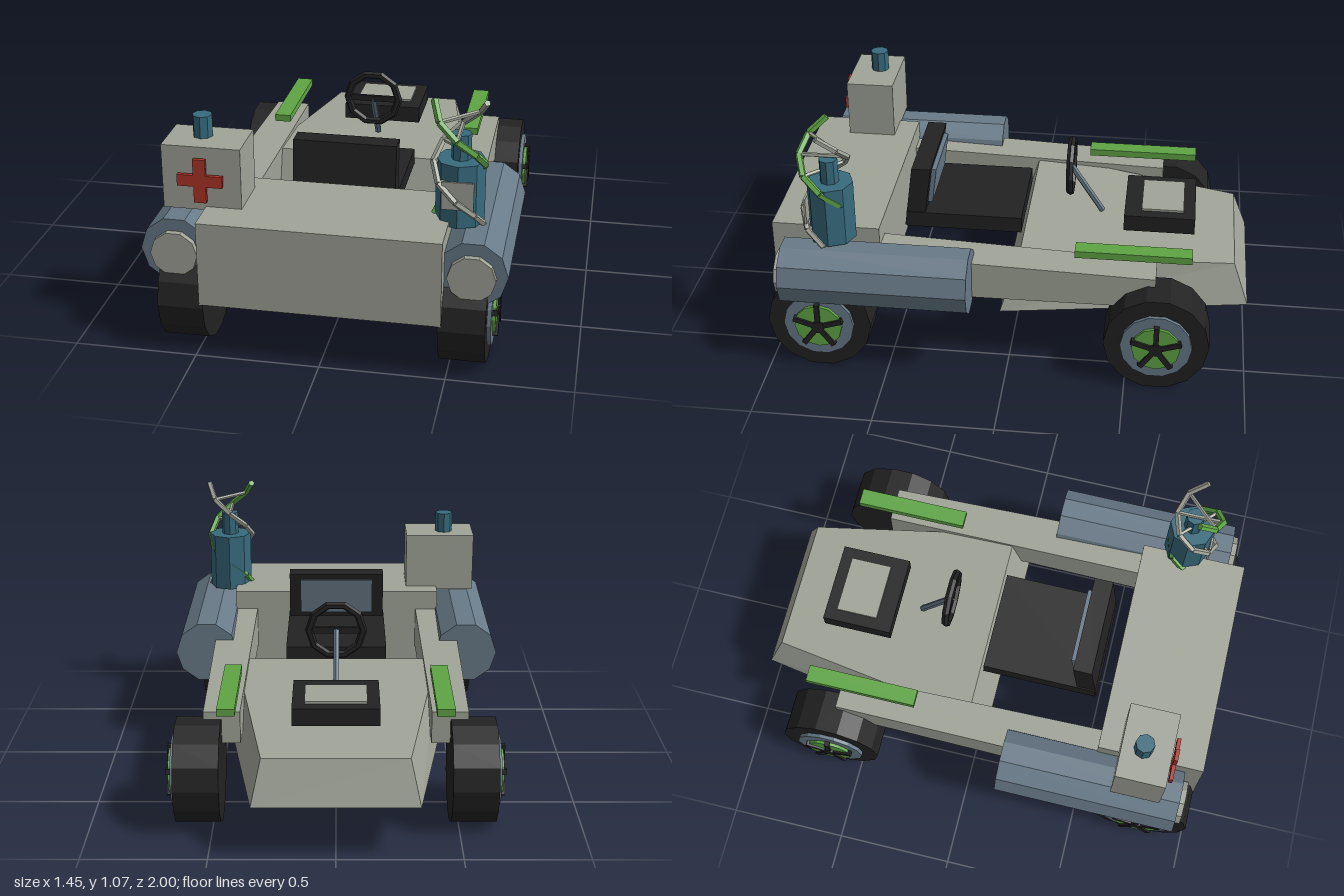
import * as THREE from 'three';

const mat = (name, color) => {
  const m = new THREE.MeshStandardMaterial({ color, flatShading: true });
  m.name = name;
  return m;
};

export function createModel() {
  const body = mat('body grey', 0xa0a498);
  const steel = mat('steel blue', 0x687a88);
  const black = mat('rubber black', 0x222222);
  const green = mat('green', 0x5fa545);
  const teal = mat('teal', 0x376a7d);
  const red = mat('red', 0xb03528);
  const root = new THREE.Group();

  const add = (name, geo, material, x = 0, y = 0, z = 0, parent = root) => {
    const m = new THREE.Mesh(geo, material);
    m.name = name;
    m.position.set(x, y, z);
    parent.add(m);
    return m;
  };
  // Box given by its limits
  const block = (name, material, x0, x1, y0, y1, z0, z1, parent = root) =>
    add(name, new THREE.BoxGeometry(x1 - x0, y1 - y0, z1 - z0), material,
      (x0 + x1) / 2, (y0 + y1) / 2, (z0 + z1) / 2, parent);
  // Box whose corners are placed by a rule of three signs
  const hexa = (name, material, rule) => {
    const geo = new THREE.BoxGeometry(2, 2, 2);
    const p = geo.attributes.position;
    for (let i = 0; i < p.count; i++) p.setXYZ(i, ...rule(p.getX(i), p.getY(i), p.getZ(i)));
    geo.computeVertexNormals();
    return add(name, geo, material);
  };
  // Straight rod between two points
  const rod = (name, material, a, b, r, sides = 5, parent = root) => {
    const d = b.clone().sub(a);
    const m = add(name, new THREE.CylinderGeometry(r, r, d.length(), sides), material, 0, 0, 0, parent);
    m.position.copy(a).add(b).multiplyScalar(0.5);
    m.quaternion.setFromUnitVectors(new THREE.Vector3(0, 1, 0), d.normalize());
    return m;
  };

  // Main hull: box, tapered deck and two side rails
  block('frontBox', body, -0.478, 0.478, 0.238, 0.593, 0.545, 1);
  hexa('taperedDeck', body, (x, y, z) => {
    if (y > 0) return z > 0 ? [x * 0.44, 0.475, -0.035] : [x * 0.29, 0.41, -0.935];
    return z > 0 ? [x * 0.5, 0.232, 0.04] : [x * 0.33, 0.232, -1];
  });
  for (const s of [-1, 1]) {
    hexa(s > 0 ? 'leftRail' : 'rightRail', body, (x, y, z) => [
      s * (x * s > 0 ? (z > 0 ? 0.55 : 0.537) : (z > 0 ? 0.375 : 0.388)),
      y > 0 ? (z > 0 ? 0.508 : 0.466) : 0.328,
      z > 0 ? 0.56 : -0.61,
    ]);
    block('greenBar', green, s * 0.435 - 0.036, s * 0.435 + 0.036, 0.507, 0.538, -0.755, -0.27);

    // Ten-sided fender tube with a lamp on its end
    const tube = new THREE.CylinderGeometry(0.139, 0.139, 0.78, 10);
    tube.rotateY(Math.PI / 2).rotateX(Math.PI / 2);
    add('fenderTube', tube, steel, s * 0.585, 0.435, 0.54);
    const lamp = new THREE.CylinderGeometry(0.095, 0.095, 0.025, 10);
    lamp.rotateY(Math.PI / 10).rotateX(Math.PI / 2);
    add('lamp', lamp, body, s * 0.585, 0.427, 0.9425);
  }

  // Wheels: tyre, rim, hub disc and five spokes
  for (const s of [-1, 1]) for (const z of [0.782, -0.625]) {
    const wheel = new THREE.Group();
    wheel.name = 'wheel';
    wheel.position.set(0, 0.22, z);
    root.add(wheel);
    const disc = (name, material, r, x0, x1, sides) => {
      const geo = new THREE.CylinderGeometry(r, r, x1 - x0, sides);
      geo.rotateZ(Math.PI / 2);
      add(name, geo, material, s * (x0 + x1) / 2, 0, 0, wheel);
    };
    disc('tyre', black, 0.218, 0.464, 0.648, 14);
    disc('rim', steel, 0.148, 0.645, 0.664, 14);
    disc('hubDisc', green, 0.1, 0.66, 0.677, 12);
    disc('hubCap', black, 0.028, 0.67, 0.688, 8);
    for (let i = 0; i < 5; i++) {
      const geo = new THREE.BoxGeometry(0.026, 0.108, 0.022);
      geo.translate(0, 0.054, 0).rotateX(i * Math.PI * 2 / 5);
      add('spoke', geo, black, s * 0.673, 0, 0, wheel);
    }
  }

  // Seat with a leaning back and pad
  block('seatCushion', black, -0.22, 0.22, 0.455, 0.525, -0.02, 0.48);
  const lean = (z0, z1) => (x0, y0, y1) => (x, y, z) =>
    [x * x0, y > 0 ? y1 : y0, (z > 0 ? z1 : z0) + (0.5 - (y > 0 ? y1 : y0)) * 0.13];
  hexa('seatBack', black, lean(0.4, 0.482)(0.215, 0.455, 0.735));
  hexa('seatPad', steel, lean(0.38, 0.402)(0.165, 0.55, 0.71));

  // Dash panel
  block('dashFrame', black, -0.175, 0.175, 0.47, 0.543, -0.76, -0.457);
  block('dashScreen', body, -0.125, 0.125, 0.5, 0.553, -0.71, -0.53);

  // Steering wheel and column
  const ring = new THREE.TorusGeometry(0.115, 0.017, 6, 10);
  add('steeringRing', ring, black, 0, 0.675, -0.215);
  block('steeringBar', black, -0.11, 0.11, 0.662, 0.688, -0.222, -0.208);
  rod('steeringColumn', steel, new THREE.Vector3(0, 0.675, -0.215),
    new THREE.Vector3(0, 0.46, -0.355), 0.014, 6);

  // Aid box with a red cross and a stopper
  block('aidBox', body, -0.65, -0.333, 0.578, 0.845, 0.635, 0.845);
  block('crossUpright', red, -0.517, -0.467, 0.62, 0.803, 0.857, 0.873);
  for (const s of [-1, 1]) {
    const x = -0.492 + s * 0.058;
    block('crossArm', red, x - 0.033, x + 0.033, 0.688, 0.736, 0.857, 0.873);
  }
  add('aidBoxStopper', new THREE.CylinderGeometry(0.04, 0.04, 0.1, 8), teal, -0.513, 0.885, 0.725);

  // Bottle with label
  add('bottleBody', new THREE.CylinderGeometry(0.097, 0.097, 0.258, 8), teal, 0.51, 0.703, 0.73);
  add('bottleNeck', new THREE.CylinderGeometry(0.039, 0.039, 0.12, 8), teal, 0.51, 0.875, 0.73);
  block('bottleLabel', body, 0.448, 0.573, 0.655, 0.77, 0.822, 0.831);

  // Double spiral with rungs around the bottle
  const spiral = new THREE.Group();
  spiral.name = 'doubleSpiral';
  root.add(spiral);
  const node = (i, phase) => {
    const t = i * Math.PI / 4 + phase;
    return new THREE.Vector3(0.505 + 0.1 * Math.cos(t), 0.57 + i * 0.0625, 0.75 + 0.1 * Math.sin(t));
  };
  for (let i = 0; i < 8; i++) {
    rod('greenStrand', green, node(i, Math.PI), node(i + 1, Math.PI), 0.015, 5, spiral);
    rod('greyStrand', body, node(i, 0), node(i + 1, 0), 0.013, 5, spiral);
    rod('rung', body, node(i, 0), node(i, Math.PI), 0.009, 5, spiral);
  }
  return root;
}
